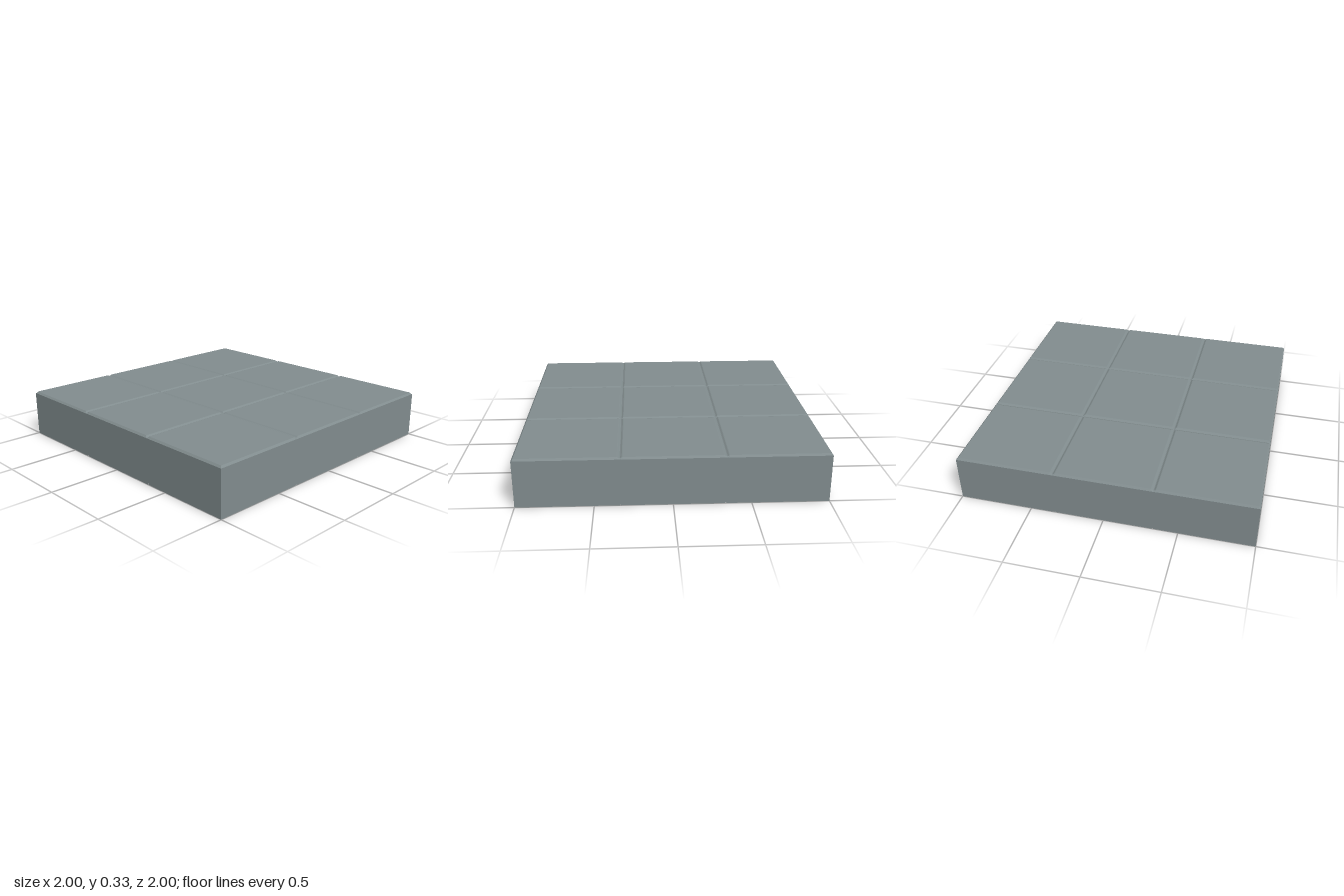
import * as THREE from 'three';

const SEAMS = [-1 / 3, 1 / 3];  // seam positions along x and z
const TOP = 0.33;
const RIM = 0.012;              // bevel around the top edge
const GROOVE = 0.018;           // half width of a seam groove
const DEPTH = 0.008;            // depth of a seam groove
const STEPS = 4;                // facets on each side of a groove

const material = new THREE.MeshStandardMaterial({
  color: 0x818c8e, flatShading: true, side: THREE.DoubleSide,
});

// Grid line positions: rim bevel plus the facets of every groove
function gridLines() {
  const lines = [-1, RIM - 1];
  for (const s of SEAMS) {
    for (let k = -STEPS; k <= STEPS; k++) lines.push(s + (k / STEPS) * GROOVE);
  }
  return [...lines, 1 - RIM, 1];
}

// How far the top surface sinks at one coordinate
function sink(v) {
  if (Math.abs(v) > 1 - RIM / 2) return RIM;
  const d = Math.min(...SEAMS.map((s) => Math.abs(v - s)));
  return d < GROOVE ? DEPTH * 0.5 * (1 + Math.cos(Math.PI * d / GROOVE)) : 0;
}

// Top sheet with soft grooves crossing at right angles
function topGeometry() {
  const lines = gridLines();
  const n = lines.length;
  const geo = new THREE.PlaneGeometry(2, 2, n - 1, n - 1).rotateX(-Math.PI / 2);
  const p = geo.attributes.position;
  for (let i = 0; i < p.count; i++) {
    const x = lines[i % n], z = lines[Math.floor(i / n)];
    p.setXYZ(i, x, TOP - Math.max(sink(x), sink(z)), z);
  }
  geo.computeVertexNormals();
  return geo;
}

// Thin side wall with small notches in its lower edge at each seam
function wallGeometry() {
  const shape = new THREE.Shape();
  shape.moveTo(-1, 0);
  for (const s of SEAMS) {
    shape.lineTo(s - 0.005, 0);
    shape.lineTo(s, 0.008);
    shape.lineTo(s + 0.005, 0);
  }
  shape.lineTo(1, 0);
  shape.lineTo(1, TOP - RIM);
  shape.lineTo(-1, TOP - RIM);
  shape.closePath();
  return new THREE.ShapeGeometry(shape).translate(0, 0, 1);
}

export function createModel() {
  const group = new THREE.Group();
  group.name = 'tiledSlab';

  // Top surface divided into nine tiles
  const top = new THREE.Mesh(topGeometry(), material);
  top.name = 'tiledTop';
  group.add(top);

  // Four walls around the open underside
  const wall = wallGeometry();
  ['frontWall', 'leftWall', 'backWall', 'rightWall'].forEach((name, k) => {
    const mesh = new THREE.Mesh(wall, material);
    mesh.name = name;
    mesh.rotation.y = k * Math.PI / 2;
    group.add(mesh);
  });
  return group;
}
